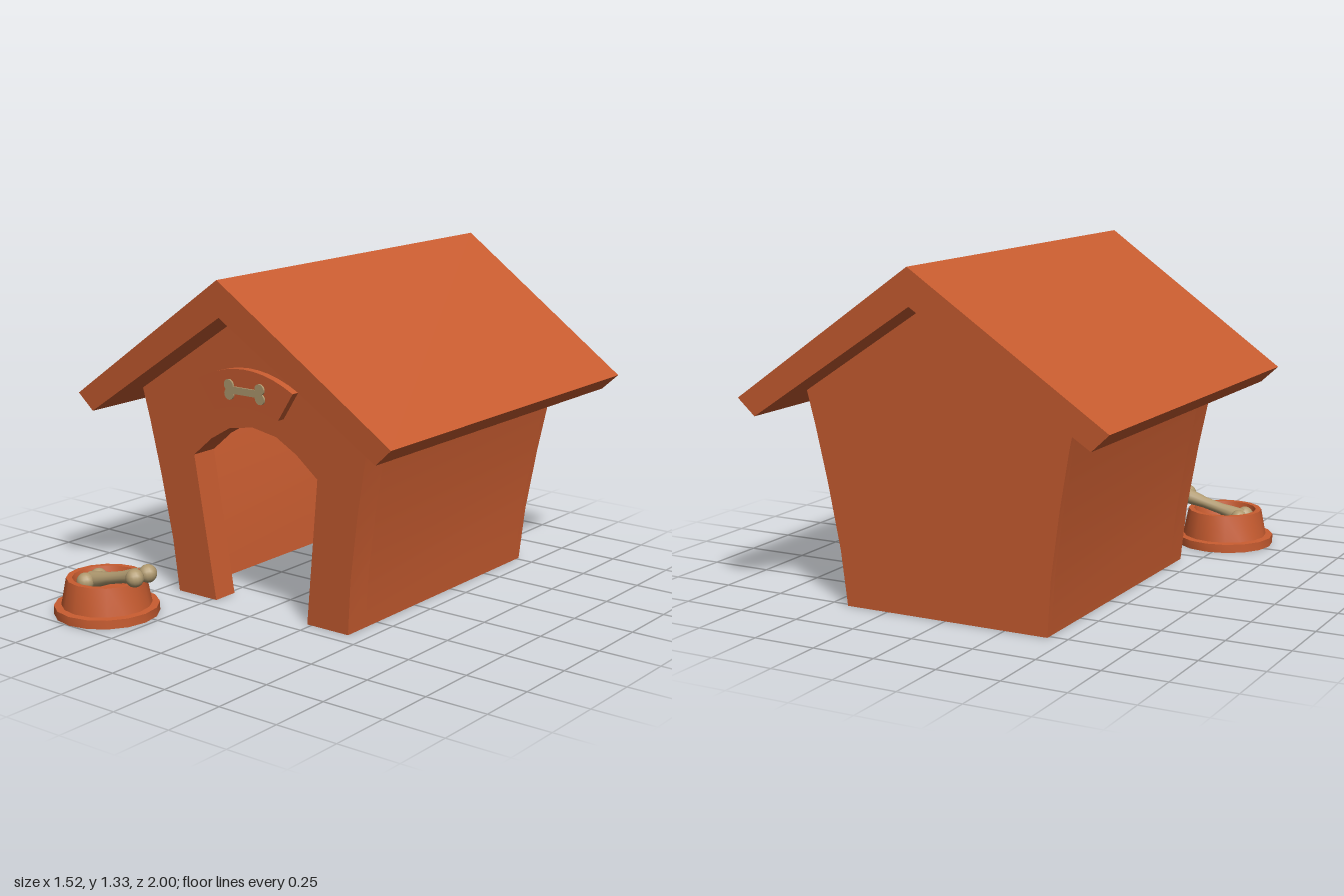
import * as THREE from 'three';
import { toCreasedNormals } from 'three/addons/utils/BufferGeometryUtils.js';

const MID_Z = -0.167;

export function createModel() {
  const model = new THREE.Group();
  const paint = new THREE.MeshStandardMaterial({ color: 0xc85c30 });
  paint.name = 'terracotta paint';
  const boneTan = new THREE.MeshStandardMaterial({ color: 0xb09a70 });
  boneTan.name = 'bone tan';

  const add = (parent, name, geometry, material) => {
    const mesh = new THREE.Mesh(geometry, material);
    mesh.name = name;
    parent.add(mesh);
    return mesh;
  };
  const shapeOf = (pts) => new THREE.Shape(pts.map(([x, y]) => new THREE.Vector2(x, y)));
  // Mirror a right-hand outline; its last point lies on x = 0
  const mirrored = (half) => [...half, ...half.slice(0, -1).reverse().map(([x, y]) => [-x, y])];

  // Extrude between two z planes, then lengthen with height so the ends lean outward
  const leaning = (shape, z0, z1, k, lift = 0) => {
    const g = new THREE.ExtrudeGeometry(shape, { depth: z1 - z0, bevelEnabled: false, curveSegments: 10 });
    g.translate(0, lift, z0);
    const p = g.attributes.position;
    for (let i = 0; i < p.count; i++) {
      p.setZ(i, MID_Z + (p.getZ(i) - MID_Z) * (1 + k * p.getY(i)));
    }
    return toCreasedNormals(g, 0.4);
  };

  // House body: hollow, open underneath
  const house = new THREE.Group();
  house.name = 'house';
  model.add(house);
  const K = 0.09, front = 0.433, back = -0.767;
  const outer = mirrored([[0.425, 0], [0.445, 0.22], [0.487, 0.48], [0.53, 0.7], [0.56, 0.83], [0, 1.195]]);
  const inner = mirrored([[0.395, 0], [0.415, 0.22], [0.457, 0.48], [0.5, 0.7], [0.53, 0.815], [0, 1.16]]);
  const door = mirrored([[0.23, 0], [0.305, 0.59], [0.21, 0.67], [0.115, 0.725], [0, 0.745]]);
  add(house, 'frontWall', leaning(shapeOf([...outer, ...door.slice().reverse()]), front - 0.11, front, K), paint);
  add(house, 'sideWalls', leaning(shapeOf([...outer, ...inner.slice().reverse()]), back + 0.03, front - 0.11, K), paint);
  add(house, 'backWall', leaning(shapeOf(outer), back, back + 0.03, K), paint);

  // Gabled roof
  const roof = shapeOf([[0, 1.19], [0.69, 0.74], [0.76, 0.805], [0, 1.33], [-0.76, 0.805], [-0.69, 0.74]]);
  add(house, 'roof', leaning(roof, MID_Z - 0.748, MID_Z + 0.748, 0.085), paint);

  // Arched sign over the door
  const sign = new THREE.Shape();
  sign.moveTo(-0.155, 0.8);
  sign.quadraticCurveTo(0, 0.855, 0.155, 0.8);
  sign.lineTo(0.23, 0.912);
  sign.quadraticCurveTo(0, 1.038, -0.23, 0.912);
  sign.closePath();
  add(house, 'sign', leaning(sign, front - 0.02, front + 0.03, K), paint);

  // Flat bone on the sign
  const rad = Math.PI / 180;
  const flatBone = new THREE.Shape();
  flatBone.moveTo(-0.054, -0.018);
  for (const [x, y, a, b] of [[0.075, -0.018, 170, 415], [0.075, 0.018, -55, 190],
    [-0.075, 0.018, -10, 235], [-0.075, -0.018, 125, 370]]) {
    flatBone.absarc(x, y, 0.022, a * rad, b * rad, false);
  }
  add(house, 'signBone', leaning(flatBone, front + 0.029, front + 0.037, K, 0.89), boneTan);

  // Food bowl, hollow underneath
  const bowl = new THREE.Group();
  bowl.name = 'bowl';
  bowl.position.set(-0.475, 0, 0.795);
  model.add(bowl);
  const profile = [[0, 0.06], [0.145, 0.055], [0.15, 0], [0.205, 0], [0.205, 0.035], [0.176, 0.037],
    [0.155, 0.145], [0.132, 0.145], [0.115, 0.075], [0, 0.07]].map(([r, y]) => new THREE.Vector2(r, y));
  add(bowl, 'dish', toCreasedNormals(new THREE.LatheGeometry(profile, 16), 0.6), paint);

  // Bone leaning out of the bowl
  const bone = new THREE.Group();
  bone.name = 'bone';
  bone.position.set(0.055, 0.15, 0);
  bone.rotation.z = Math.atan2(0.068, 0.265);
  bowl.add(bone);
  const shaft = [[0.034, -0.14], [0.03, -0.09], [0.024, -0.04], [0.024, 0.04], [0.03, 0.09], [0.034, 0.14]]
    .map(([r, y]) => new THREE.Vector2(r, y));
  add(bone, 'shaft', new THREE.LatheGeometry(shaft, 12).rotateZ(-Math.PI / 2), boneTan);
  for (const x of [-0.137, 0.137]) {
    for (const z of [-0.036, 0.036]) {
      add(bone, 'knob', new THREE.SphereGeometry(0.036, 14, 10), boneTan).position.set(x, 0, z);
    }
  }
  return model;
}
